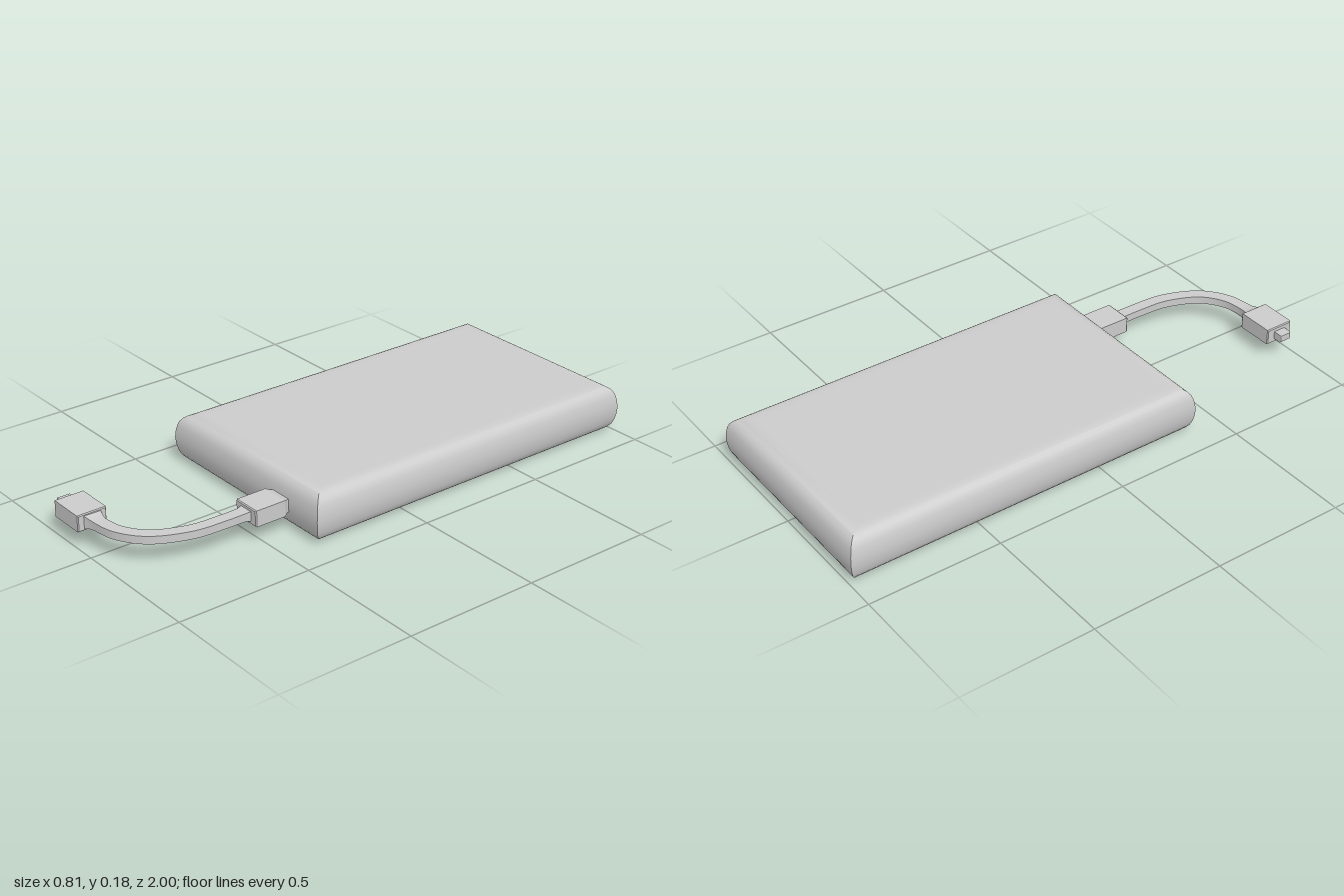
import * as THREE from 'three';
import { toCreasedNormals } from 'three/addons/utils/BufferGeometryUtils.js';

const material = new THREE.MeshStandardMaterial({ color: 0xcccccc });
const MID_Y = 0.092;

// Skin four-cornered rings (counter-clockwise seen from the last ring) and cap both ends.
function loft(rings, crease) {
  const pos = [];
  const tri = (...pts) => pts.forEach((p) => pos.push(p.x, p.y, p.z));
  for (let i = 0; i < rings.length - 1; i++) {
    for (let j = 0; j < 4; j++) {
      const k = (j + 1) % 4;
      const a = rings[i][j], b = rings[i][k], c = rings[i + 1][k], d = rings[i + 1][j];
      tri(a, b, c);
      tri(a, c, d);
    }
  }
  const s = rings[0], e = rings[rings.length - 1];
  tri(s[0], s[2], s[1]);
  tri(s[0], s[3], s[2]);
  tri(e[0], e[1], e[2]);
  tri(e[0], e[2], e[3]);
  const geo = new THREE.BufferGeometry();
  geo.setAttribute('position', new THREE.Float32BufferAttribute(pos, 3));
  return toCreasedNormals(geo, crease);
}

// Rectangular ring around point p, facing the horizontal direction t.
function ring(p, t, halfW, halfH) {
  const side = new THREE.Vector3(0, 1, 0).cross(t).normalize();
  return [[1, -1], [1, 1], [-1, 1], [-1, -1]].map(([u, v]) => {
    const q = p.clone().addScaledVector(side, u * halfW);
    q.y += v * halfH;
    return q;
  });
}

// Straight block: stations are [distance, half width, half height].
function block(origin, dir, stations) {
  return loft(stations.map(([d, w, h]) =>
    ring(origin.clone().addScaledVector(dir, d), dir, w, h)), 0.3);
}

function part(name, geometry) {
  const mesh = new THREE.Mesh(geometry, material);
  mesh.name = name;
  return mesh;
}

export function createModel() {
  const group = new THREE.Group();
  group.name = 'portableBattery';

  // Body: mitred rectangular slab with a soft, slightly bulging edge profile [inset, y]
  const lower = [[0.08, 0], [0.06, 0], [0.047, 0.002], [0.034, 0.007], [0.022, 0.016],
    [0.013, 0.028], [0.007, 0.043], [0.002, 0.067]];
  const upper = lower.map(([i, y]) => [i, 0.183 - y]).reverse();
  const body = [...lower, [0, 0.0915], ...upper].map(([i, y]) => {
    const x = 0.405 - i, front = 0.39 - i, back = -1 + i;
    return [[x, front], [x, back], [-x, back], [-x, front]]
      .map(([px, pz]) => new THREE.Vector3(px, y, pz));
  });
  group.add(part('body', loft(body, 0.6)));

  // Block where the cable leaves the body
  group.add(part('cableBase', block(new THREE.Vector3(0.207, MID_Y, 0), new THREE.Vector3(0, 0, 1), [
    [0.37, 0.043, 0.022], [0.395, 0.045, 0.024], [0.41, 0.054, 0.03],
    [0.526, 0.054, 0.03], [0.53, 0.051, 0.027],
  ])));

  // Flat cable in a quarter bend, flaring at both ends
  const curve = new THREE.CatmullRomCurve3([
    [0.207, 0.525], [0.207, 0.62], [0.197, 0.74], [0.14, 0.865], [0.06, 0.925], [-0.01, 0.941], [-0.075, 0.943],
  ].map(([x, z]) => new THREE.Vector3(x, MID_Y, z)), false, 'centripetal');
  const N = 48;
  const cable = [];
  for (let i = 0; i <= N; i++) {
    const u = i / N;
    const endFlare = Math.max(0, 1 - (1 - u) / 0.1) ** 2;
    const startFlare = Math.max(0, 1 - u / 0.06) ** 2;
    const t = curve.getTangentAt(u).setY(0).normalize();
    cable.push(ring(curve.getPointAt(u), t,
      0.0225 + 0.012 * endFlare + 0.006 * startFlare,
      0.0145 + 0.01 * endFlare + 0.004 * startFlare));
  }
  group.add(part('cable', loft(cable, 0.6)));

  // Plug housing and its metal tip
  const plugOrigin = new THREE.Vector3(0, MID_Y, 0.944);
  const left = new THREE.Vector3(-1, 0, 0);
  group.add(part('plugHousing', block(plugOrigin, left, [
    [0.07, 0.052, 0.027], [0.074, 0.055, 0.03], [0.211, 0.055, 0.03], [0.215, 0.052, 0.027],
  ])));
  group.add(part('plugTip', block(plugOrigin, left, [
    [0.21, 0.024, 0.0145], [0.247, 0.024, 0.0145], [0.25, 0.022, 0.0125],
  ])));

  return group;
}
